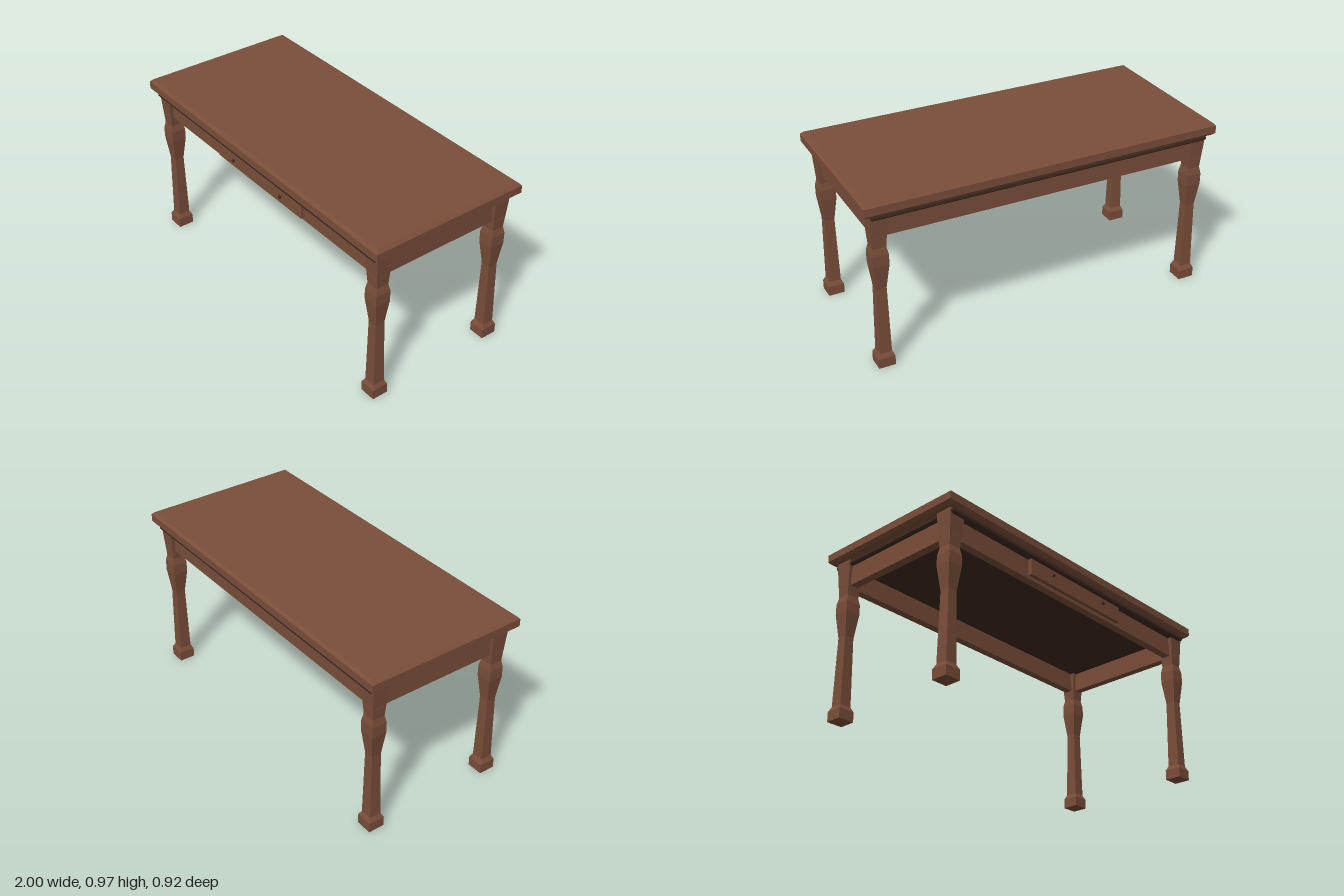
import * as THREE from 'three';

// Stack of rectangles, each [y, halfX, halfZ], joined by flat faces and capped
function loft(levels) {
  const pos = [];
  const rings = levels.map(([y, x, z]) => [[x, y, z], [x, y, -z], [-x, y, -z], [-x, y, z]]);
  const quad = (a, b, c, d) => [a, b, c, a, c, d].forEach((p) => pos.push(...p));
  for (let i = 0; i < rings.length - 1; i++) {
    const lo = rings[i], hi = rings[i + 1];
    for (let k = 0; k < 4; k++) {
      const n = (k + 1) % 4;
      quad(lo[k], lo[n], hi[n], hi[k]);
    }
  }
  quad(...rings[rings.length - 1]);
  quad(...rings[0].slice().reverse());
  const g = new THREE.BufferGeometry();
  g.setAttribute('position', new THREE.Float32BufferAttribute(pos, 3));
  g.computeVertexNormals();
  return g;
}

// Rectangular slab with chamfered upper and lower edges
function slab(y0, y1, hx, hz, bevel) {
  return loft([
    [y0, hx - bevel, hz - bevel],
    [y0 + bevel, hx, hz],
    [y1 - bevel, hx, hz],
    [y1, hx - bevel, hz - bevel],
  ]);
}

export function createModel() {
  const group = new THREE.Group();
  const wood = new THREE.MeshStandardMaterial({ color: 0x7a4e3a });
  wood.name = 'wood';
  const darkWood = new THREE.MeshStandardMaterial({ color: 0x3f2a20 });
  darkWood.name = 'darkWood';

  const add = (name, geometry, material, x = 0, y = 0, z = 0) => {
    const mesh = new THREE.Mesh(geometry, material);
    mesh.name = name;
    mesh.position.set(x, y, z);
    group.add(mesh);
    return mesh;
  };

  // Top and the dark moulding panel beneath it
  add('tableTop', slab(0.898, 0.97, 1, 0.46, 0.015), wood);
  add('moulding', slab(0.867, 0.897, 0.957, 0.437, 0.008), darkWood);

  // Square turned legs
  const legGeometry = loft([
    [0, 0.0455], [0.055, 0.0455], [0.08, 0.033], [0.465, 0.027],
    [0.6, 0.043], [0.66, 0.043], [0.7, 0.035], [0.885, 0.048], [0.898, 0.048],
  ].map(([y, r]) => [y, r, r]));
  for (const [side, x] of [['Left', 0.914], ['Right', -0.914]]) {
    add('front' + side + 'Leg', legGeometry, wood, x, 0, 0.375);
    add('back' + side + 'Leg', legGeometry, wood, x, 0, -0.375);
  }

  // Apron boards, their ends just breaking through the tapered legs
  const longBoard = new THREE.BoxGeometry(1.908, 0.115, 0.045);
  const shortBoard = new THREE.BoxGeometry(0.045, 0.115, 0.83);
  add('frontApron', longBoard, wood, 0, 0.8125, 0.375);
  add('backApron', longBoard, wood, 0, 0.8125, -0.375);
  add('leftApron', shortBoard, wood, 0.915, 0.8125, 0);
  add('rightApron', shortBoard, wood, -0.915, 0.8125, 0);

  // Drawer front with two small knobs on thin stems
  add('drawerFront', new THREE.BoxGeometry(0.735, 0.094, 0.03), wood, 0, 0.822, 0.404);
  const knob = new THREE.SphereGeometry(0.01, 8, 6);
  knob.scale(1, 1, 0.65);
  const stem = new THREE.CylinderGeometry(0.002, 0.002, 0.018, 6);
  stem.rotateX(Math.PI / 2);
  for (const [side, x] of [['left', 0.208], ['right', -0.208]]) {
    add(side + 'Knob', knob, darkWood, x, 0.826, 0.436);
    add(side + 'KnobStem', stem, darkWood, x, 0.826, 0.426);
  }

  return group;
}
